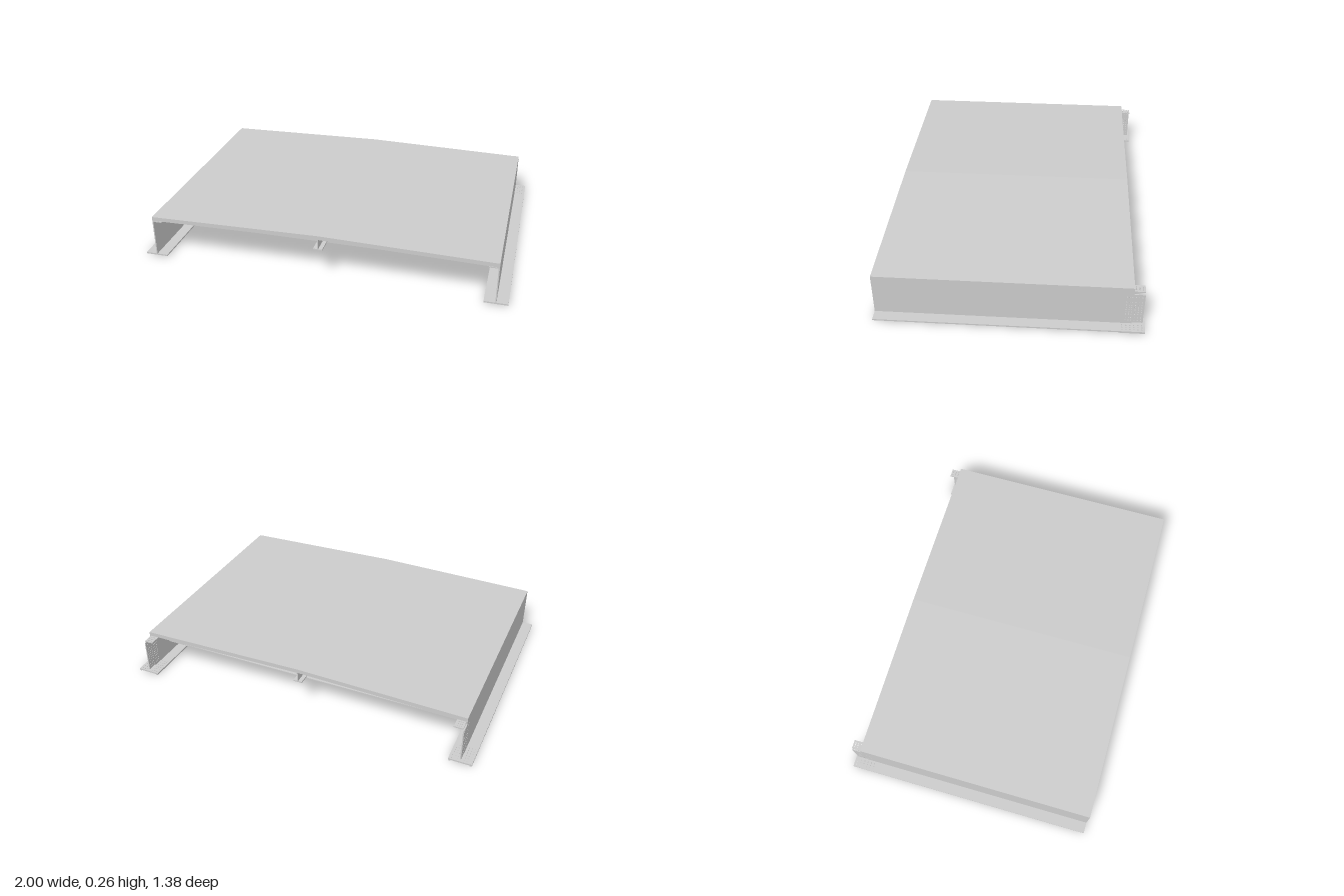
import * as THREE from 'three';

const FRONT = 0.69, BACK = -0.69, DECK_BACK = -0.625, HALF = 0.94;
const material = new THREE.MeshStandardMaterial({ color: 0xcccccc, flatShading: true });

// underside of the cambered deck at a given x
const soffit = (x) => 0.24 - 0.018 * Math.abs(x) / HALF;

function add(parent, name, geometry, x = 0, y = 0, z = 0) {
  const mesh = new THREE.Mesh(geometry, material);
  mesh.name = name;
  mesh.position.set(x, y, z);
  parent.add(mesh);
  return mesh;
}

function box(parent, name, x0, x1, y0, y1, z0, z1) {
  return add(parent, name, new THREE.BoxGeometry(x1 - x0, y1 - y0, z1 - z0),
    (x0 + x1) / 2, (y0 + y1) / 2, (z0 + z1) / 2);
}

// flat plate cut from an outline, with small round bolt holes
function plate(points, depth, holes = []) {
  const shape = new THREE.Shape(points.map(([a, b]) => new THREE.Vector2(a, b)));
  for (const [a, b] of holes) {
    shape.holes.push(new THREE.Path().absarc(a, b, 0.003, 0, Math.PI * 2, true));
  }
  return new THREE.ExtrudeGeometry(shape, { depth, bevelEnabled: false, curveSegments: 6 });
}

function grid(as, bs) {
  return as.flatMap((a) => bs.map((b) => [a, b]));
}

// band that follows the camber between two heights measured from the soffit
function camberedBand(halfWidth, low, high, depth) {
  const e = soffit(halfWidth), c = soffit(0);
  return plate([
    [-halfWidth, e + low], [0, c + low], [halfWidth, e + low],
    [halfWidth, e + high], [0, c + high], [-halfWidth, e + high],
  ], depth);
}

// edge girder: web, outstanding bottom flange and inward top flange
function girder(side) {
  const g = new THREE.Group();
  g.name = side > 0 ? 'leftGirder' : 'rightGirder';

  // web outline in (z, y), narrowed at the splice end
  const boltZ = [-0.59, -0.605, -0.617, -0.635, -0.651, -0.667];
  const boltY = [0.035, 0.052, 0.075, 0.09, 0.105, 0.12, 0.135, 0.155, 0.188];
  const web = plate([
    [FRONT, 0.012], [FRONT, 0.222], [DECK_BACK, 0.222], [DECK_BACK, 0.205],
    [-0.68, 0.205], [-0.68, 0.02], [DECK_BACK, 0.02], [DECK_BACK, 0.012],
  ], 0.006, grid(boltZ, boltY));
  web.rotateY(-Math.PI / 2);
  add(g, 'girderWeb', web, side > 0 ? HALF : -HALF + 0.006);

  // bottom flange outline in (x, -z)
  const xs = [0.89, 0.905, 0.92, 0.955, 0.97, 0.985].map((x) => x * side);
  const bottom = plate([
    [0.875 * side, -FRONT], [side, -FRONT], [side, -BACK], [0.875 * side, -BACK],
  ], 0.008, grid(xs, [0.575, 0.595, 0.615, 0.635, 0.655, 0.675]));
  bottom.rotateX(-Math.PI / 2);
  add(g, 'bottomFlange', bottom, 0, 0.005, 0);

  // top flange, inside the web
  const top = plate([
    [0.885 * side, -FRONT], [0.934 * side, -FRONT], [0.934 * side, 0.68], [0.885 * side, 0.68],
  ], 0.006, grid([0.9, 0.91, 0.92].map((x) => x * side), [0.635, 0.652, 0.668]));
  top.rotateX(-Math.PI / 2);
  add(g, 'topFlange', top, 0, 0.215, 0);

  // thin splice pad beneath the flange
  for (const [a, b] of [[0.878, 0.888], [0.988, 0.998]]) {
    box(g, 'splicePad', Math.min(a * side, b * side), Math.max(a * side, b * side),
      0, 0.005, BACK, -0.56);
  }
  return g;
}

// transverse I-beam
function crossBeam(z) {
  const g = new THREE.Group();
  g.name = 'crossBeam';
  g.position.z = z;
  const w = 0.934, e = soffit(w), c = soffit(0);
  add(g, 'beamWeb', plate([[-w, 0.09], [w, 0.09], [w, e], [0, c], [-w, e]], 0.006), 0, 0, -0.003);
  box(g, 'beamBottomFlange', -w, w, 0.085, 0.092, -0.03, 0.03);
  add(g, 'beamTopFlange', camberedBand(0.91, -0.007, -0.0005, 0.06), 0, 0, -0.03);
  return g;
}

export function createModel() {
  const model = new THREE.Group();
  model.name = 'bridgeDeckSegment';

  // cambered deck slab
  add(model, 'deck', camberedBand(HALF, 0, 0.0225, FRONT - DECK_BACK), 0, 0, DECK_BACK);

  for (const side of [-1, 1]) model.add(girder(side));
  for (const z of [-0.44, -0.01, 0.42]) model.add(crossBeam(z));

  // shallow stringer along the centre line
  const stringer = new THREE.Group();
  stringer.name = 'centreStringer';
  box(stringer, 'stringerWeb', -0.003, 0.003, 0.18, 0.2395, DECK_BACK + 0.005, FRONT - 0.005);
  box(stringer, 'stringerFlange', -0.025, 0.025, 0.175, 0.182, DECK_BACK + 0.005, FRONT - 0.005);
  model.add(stringer);

  return model;
}
